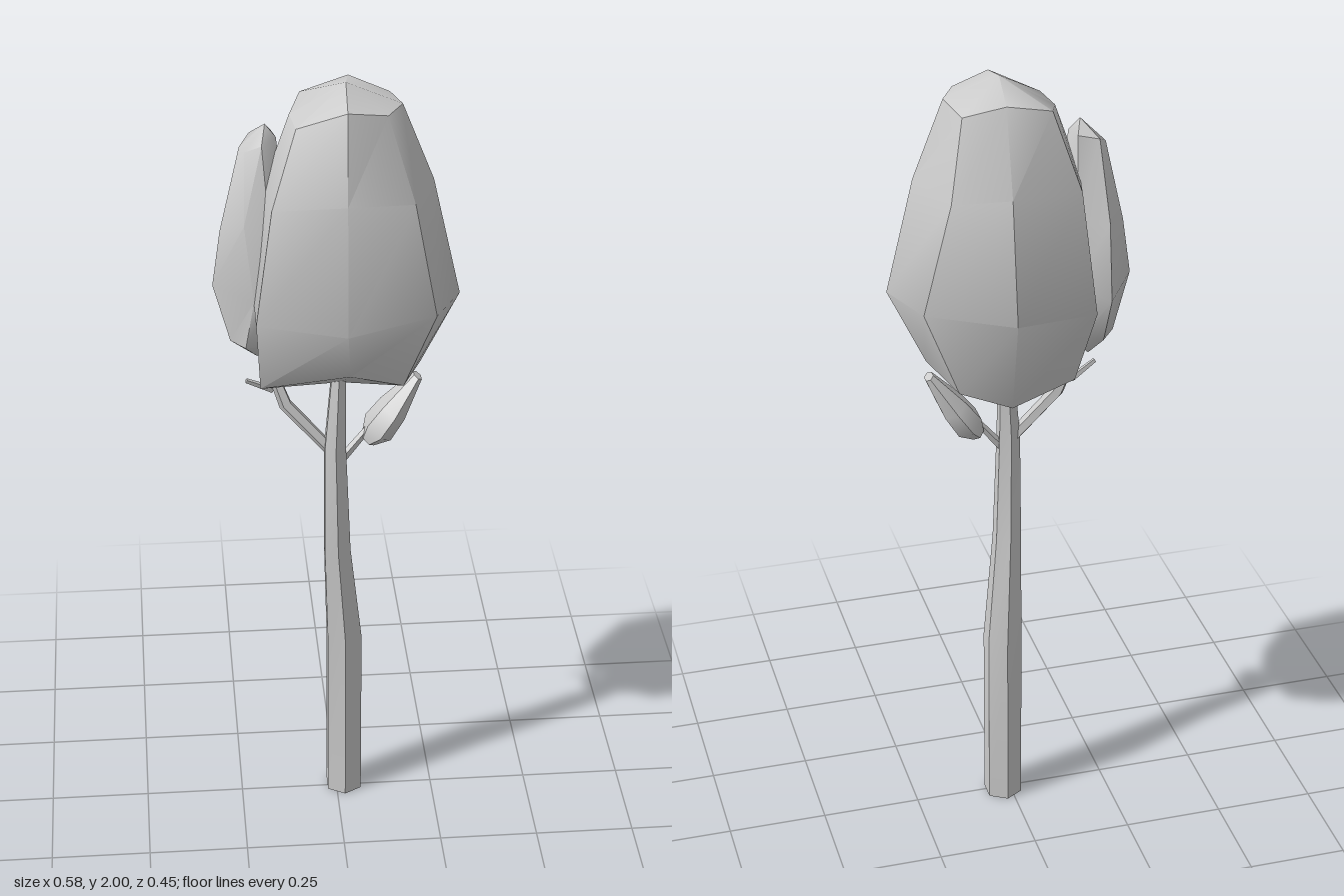
import * as THREE from 'three';
import { toCreasedNormals } from 'three/addons/utils/BufferGeometryUtils.js';

const material = new THREE.MeshStandardMaterial({ color: 0xcccccc });

// Skin a stack of rings (bottom to top) and close both ends with a point
function loft(name, rings, bottom, top, crease) {
  const n = rings[0].length;
  const pos = [...rings.flat(2), ...bottom, ...top];
  const index = [], b = rings.length * n, t = b + 1, last = b - n;
  for (let i = 0; i < n; i++) {
    const j = (i + 1) % n;
    index.push(b, i, j, last + i, t, last + j);
    for (let r = 0; r < last; r += n) {
      index.push(r + i, r + n + i, r + j, r + n + i, r + n + j, r + j);
    }
  }
  const geo = new THREE.BufferGeometry();
  geo.setAttribute('position', new THREE.Float32BufferAttribute(pos, 3));
  geo.setIndex(index);
  const mesh = new THREE.Mesh(toCreasedNormals(geo, crease), material);
  mesh.name = name;
  return mesh;
}

// Faceted limb through [x, y, z, radius] stations
function limb(name, stations, sides, crease = 0.6, flatten = 1) {
  const pts = stations.map(([x, y, z]) => new THREE.Vector3(x, y, z));
  const up = new THREE.Vector3(0, 1, 0);
  const rings = stations.map((s, k) => {
    const dir = pts[Math.min(k + 1, pts.length - 1)].clone().sub(pts[Math.max(k - 1, 0)]).normalize();
    const q = new THREE.Quaternion().setFromUnitVectors(up, dir);
    return Array.from({ length: sides }, (_, i) => {
      const a = ((i + 0.5) / sides) * Math.PI * 2;
      return new THREE.Vector3(Math.cos(a) * s[3] * flatten, 0, Math.sin(a) * s[3])
        .applyQuaternion(q).add(pts[k]).toArray();
    });
  });
  return loft(name, rings, pts[0].toArray(), pts[pts.length - 1].toArray(), crease);
}

export function createModel() {
  const tree = new THREE.Group();
  tree.name = 'tree';

  // Bent trunk, tapering into the crown
  tree.add(limb('trunk', [
    [0.02, 0, -0.008, 0.05], [0.02, 0.48, -0.008, 0.05], [0, 0.76, 0.022, 0.037],
    [-0.006, 1.05, 0.03, 0.03], [0.003, 1.24, 0.02, 0.02],
  ], 6));

  // Side branches
  tree.add(limb('leftClumpBranch', [
    [-0.005, 1.03, 0.028, 0.016], [-0.125, 1.165, 0.01, 0.017], [-0.185, 1.33, -0.02, 0.01],
  ], 5));
  tree.add(limb('twig', [[-0.155, 1.2, -0.005, 0.009], [-0.22, 1.235, 0.01, 0.006]], 4));
  tree.add(limb('budBranch', [[0.005, 1.01, 0.028, 0.012], [0.085, 1.11, 0.025, 0.009]], 5));

  // Small bud of leaves on the short branch
  tree.add(limb('leafBud', [
    [0.075, 1.068, 0.025, 0.03], [0.1, 1.1, 0.025, 0.062],
    [0.135, 1.15, 0.025, 0.056], [0.195, 1.24, 0.025, 0.02],
  ], 6, 0.7, 0.65));

  // Main crown
  const crown = [
    [[0.2, 1.28, 0.03], [0.15, 1.27, 0.13], [0.02, 1.32, 0.17], [-0.19, 1.26, 0.1],
      [-0.15, 1.27, 0], [-0.13, 1.26, -0.12], [0.03, 1.215, -0.14], [0.15, 1.25, -0.1]],
    [[0.29, 1.47, 0.045], [0.22, 1.48, 0.185], [0.01, 1.45, 0.223], [-0.2, 1.45, 0.145],
      [-0.2, 1.47, 0], [-0.17, 1.45, -0.165], [0.04, 1.47, -0.223], [0.24, 1.48, -0.125]],
    [[0.225, 1.76, 0.03], [0.17, 1.75, 0.15], [0.01, 1.77, 0.2], [-0.16, 1.74, 0.14],
      [-0.17, 1.75, 0], [-0.14, 1.75, -0.13], [0.04, 1.77, -0.178], [0.17, 1.75, -0.12]],
    [[0.15, 1.95, 0.03], [0.11, 1.95, 0.1], [0.015, 1.97, 0.13], [-0.1, 1.92, 0.09],
      [-0.11, 1.92, 0], [-0.08, 1.94, -0.085], [0.035, 1.97, -0.105], [0.13, 1.94, -0.07]],
  ];
  tree.add(loft('crown', crown, [0.01, 1.21, -0.01], [0.02, 2, 0.015], 0.7));

  // Narrow clump leaning against the crown
  const clump = [
    [[-0.14, 1.33, -0.02], [-0.17, 1.34, 0.035], [-0.22, 1.33, 0.025],
      [-0.255, 1.33, -0.02], [-0.21, 1.34, -0.09], [-0.16, 1.35, -0.08]],
    [[-0.12, 1.48, 0], [-0.16, 1.5, 0.07], [-0.2, 1.47, 0.06],
      [-0.295, 1.48, -0.02], [-0.21, 1.47, -0.15], [-0.135, 1.5, -0.1]],
    [[-0.12, 1.66, 0], [-0.16, 1.64, 0.055], [-0.22, 1.66, 0.045],
      [-0.275, 1.62, -0.02], [-0.21, 1.66, -0.125], [-0.14, 1.65, -0.09]],
    [[-0.14, 1.86, -0.01], [-0.175, 1.85, 0.02], [-0.215, 1.83, 0.005],
      [-0.225, 1.83, -0.03], [-0.2, 1.85, -0.065], [-0.15, 1.86, -0.055]],
  ];
  tree.add(loft('sideClump', clump, [-0.19, 1.28, -0.03], [-0.165, 1.89, -0.02], 0.7));

  return tree;
}
